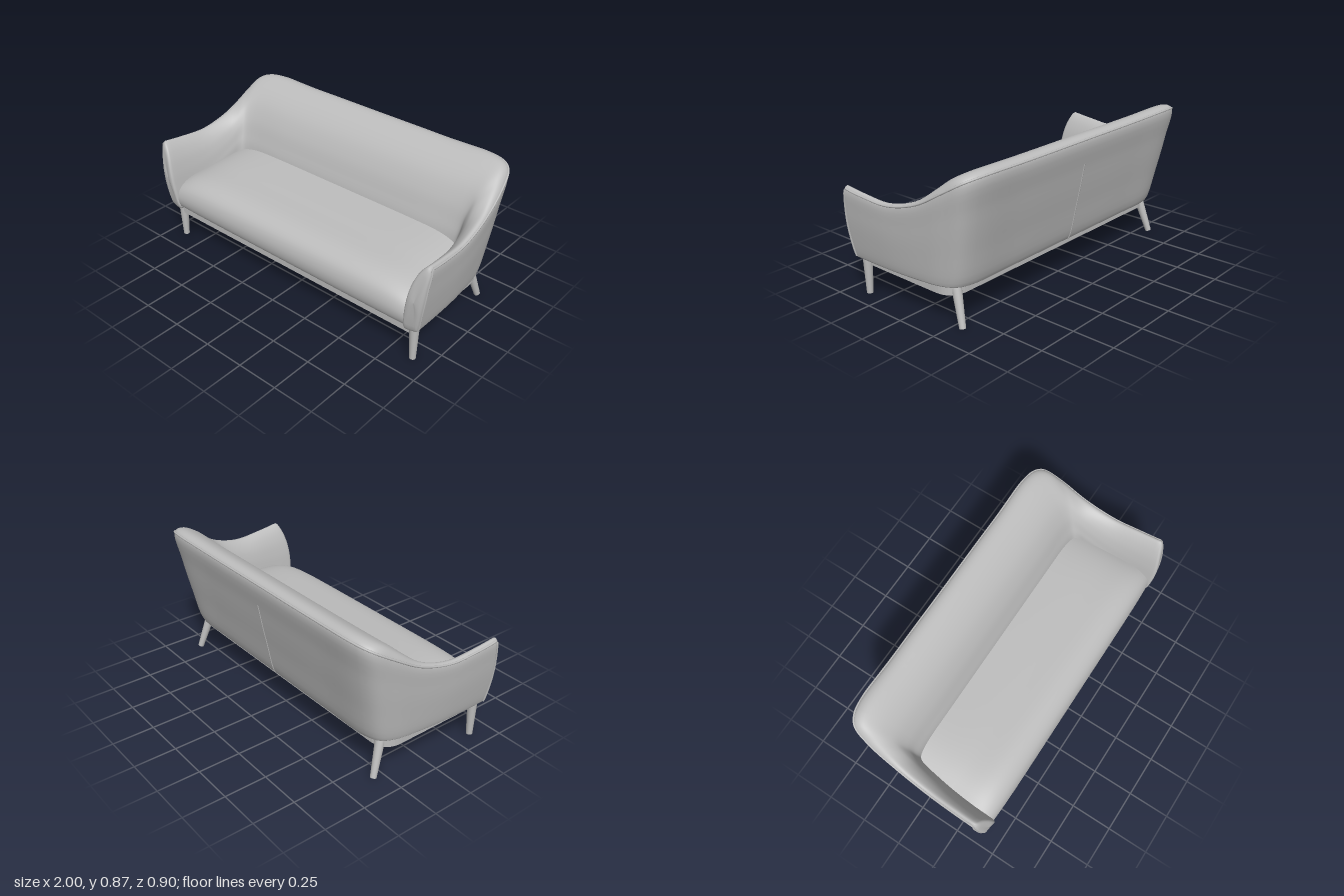
import * as THREE from 'three';

const upholstery = new THREE.MeshStandardMaterial({ color: 0xbcbcbc });
upholstery.name = 'light grey';
upholstery.side = THREE.DoubleSide;

const BASE = 0.217;
const V = (x, y, z) => new THREE.Vector3(x, y, z);

function mesh(name, geometry) {
  const m = new THREE.Mesh(geometry, upholstery);
  m.name = name;
  return m;
}

// Smooth surface through rows of points
function loft(rows) {
  const n = rows[0].length, pos = [], index = [];
  rows.forEach(r => r.forEach(p => pos.push(p.x, p.y, p.z)));
  for (let i = 0; i < rows.length - 1; i++)
    for (let j = 0; j < n - 1; j++) {
      const a = i * n + j, b = a + n;
      index.push(a, b, b + 1, a, b + 1, a + 1);
    }
  const g = new THREE.BufferGeometry();
  g.setAttribute('position', new THREE.Float32BufferAttribute(pos, 3));
  g.setIndex(index);
  g.computeVertexNormals();
  return g;
}

// Half of the shell, front of the arm to the middle of the back:
// outer bottom x z, outer top x z, top height, inner x z, inner height
const STATIONS = [
  [0.94, 0.40, 0.992, 0.39, 0.65, 0.865, 0.41, 0.30],
  [0.94, 0.25, 0.987, 0.25, 0.635, 0.86, 0.27, 0.32],
  [0.935, 0.08, 0.978, 0.08, 0.628, 0.85, 0.10, 0.38],
  [0.92, -0.08, 0.965, -0.12, 0.68, 0.84, -0.02, 0.44],
  [0.90, -0.20, 0.948, -0.29, 0.775, 0.83, -0.07, 0.46],
  [0.86, -0.28, 0.915, -0.395, 0.838, 0.815, -0.09, 0.46],
  [0.78, -0.315, 0.84, -0.436, 0.86, 0.77, -0.10, 0.46],
  [0.50, -0.32, 0.50, -0.443, 0.86, 0.50, -0.10, 0.46],
  [0, -0.32, 0, -0.443, 0.86, 0, -0.10, 0.46],
];
// Rounded crest: fraction from outer to inner, fraction of height
const CREST = [[0.13, 1.05], [0.38, 0.96], [0.64, 0.76], [0.82, 0.5], [0.92, 0.26], [1, 0]];
const SUB = 5;      // samples between control points
const TOP = 4;      // control point at the outer top edge

function section([bx, bz, tx, tz, h, ix, iz, iy], k) {
  const B = V(bx, BASE + 0.01, bz), T = V(tx, h - 0.02, tz), I = V(ix, iy, iz);
  const out = V(tx - ix, 0, tz - iz).normalize().multiplyScalar(0.01);
  const foot = B.clone().lerp(I, 0.1).setY(BASE);
  const pts = [foot, B];
  for (const f of [0.35, 0.7]) pts.push(B.clone().lerp(T, f).add(out));
  pts.push(T);
  for (const [f, d] of CREST) {
    const p = T.clone().lerp(I, f);
    p.y = iy + (T.y - iy) * d;
    pts.push(p);
  }
  pts.push(V(ix, BASE, iz), foot.clone());
  // Front edge of the arm bows forward
  if (k === 0) pts.forEach(p => { p.z += 0.02 * Math.sin(Math.PI * Math.min(1, (p.y - BASE) / (h - BASE))); });
  return pts;
}

function shellRows() {
  const half = STATIONS.map(section);
  const mirrored = half.slice(0, -1).reverse().map(s => s.map(p => V(-p.x, p.y, p.z)));
  const all = [...half, ...mirrored];
  const cols = all[0].map((_, j) =>
    new THREE.CatmullRomCurve3(all.map(s => s[j])).getPoints((all.length - 1) * 6));
  return cols[0].map((_, i) =>
    new THREE.CatmullRomCurve3(cols.map(c => c[i])).getPoints((cols.length - 1) * SUB));
}

// Domed pad closing the front of an arm
function armCap(row) {
  const c = row.reduce((s, p) => s.add(p), V(0, 0, 0)).divideScalar(row.length);
  return [[0, 0.03], [0.4, 0.029], [0.75, 0.024], [0.9, 0.017], [0.97, 0.009]].map(([s, dz]) =>
    row.map(p => c.clone().lerp(p, s).add(V(0, 0, dz))));
}

// Frame outline with rounded back corners, drawn in x and -z
function frameShape(inset) {
  const w = 0.89 - inset, f = -0.385 + inset, b = 0.275 - inset, r = 0.12;
  const s = new THREE.Shape();
  s.moveTo(-w, f);
  s.lineTo(w, f);
  s.lineTo(w, b - r);
  s.quadraticCurveTo(w, b, w - r, b);
  s.lineTo(-w + r, b);
  s.quadraticCurveTo(-w, b, -w, b - r);
  s.closePath();
  return s;
}

function slab(shape, y, depth) {
  const g = new THREE.ExtrudeGeometry(shape, { depth, bevelEnabled: false, curveSegments: 10 });
  return g.rotateX(-Math.PI / 2).translate(0, y, 0);
}

// Tapered round leg between two points
function leg(name, top, foot) {
  const d = top.clone().sub(foot);
  const m = mesh(name, new THREE.CylinderGeometry(0.028, 0.018, d.length(), 20));
  m.position.copy(top).add(foot).multiplyScalar(0.5);
  m.quaternion.setFromUnitVectors(V(0, 1, 0), d.normalize());
  return m;
}

export function createModel() {
  const sofa = new THREE.Group();
  sofa.name = 'sofa';

  // Wraparound back and arms
  const rows = shellRows();
  const first = rows[0], last = rows[rows.length - 1];
  sofa.add(mesh('backAndArms', loft([...armCap(first), ...rows, ...armCap(last).reverse()])));

  // Piping up the arm front, along the top edge and down again
  const j = TOP * SUB;
  const path = [
    ...first.slice(SUB, j), ...rows.filter((_, i) => i % 2 === 0).map(r => r[j]),
    ...last.slice(SUB, j).reverse(),
  ];
  sofa.add(mesh('piping', new THREE.TubeGeometry(new THREE.CatmullRomCurve3(path), 260, 0.006, 8)));

  // Seam up the middle of the back
  const mid = rows[(rows.length - 1) / 2];
  sofa.add(mesh('backSeam', new THREE.TubeGeometry(
    new THREE.CatmullRomCurve3(mid.slice(SUB, j - 3)), 24, 0.004, 6)));

  // Seat cushion, falling away at both ends
  const profile = new THREE.CatmullRomCurve3([
    V(0, BASE, 0.395), V(0, 0.25, 0.425), V(0, 0.32, 0.435), V(0, 0.39, 0.41),
    V(0, 0.437, 0.34), V(0, 0.462, 0.15), V(0, 0.48, -0.1), V(0, 0.485, -0.2),
  ]).getPoints(42);
  const seat = [];
  for (let i = 0; i <= 48; i++) {
    const x = -0.9 + 1.8 * i / 48, e = Math.pow(Math.abs(x) / 0.88, 8);
    seat.push(profile.map(p => V(x, BASE + (p.y - BASE) * (1 - 0.22 * e), p.z - 0.01 * e)));
  }
  sofa.add(mesh('seat', loft(seat)));

  // Base frame with a recessed underside panel
  const ring = frameShape(0);
  ring.holes.push(frameShape(0.03));
  sofa.add(mesh('baseFrame', slab(ring, 0.17, 0.05)));
  sofa.add(mesh('undersidePanel', slab(frameShape(0.01), 0.205, 0.012)));

  // Legs
  for (const s of [1, -1]) {
    const side = s > 0 ? 'Left' : 'Right';
    sofa.add(leg('front' + side + 'Leg', V(s * 0.895, 0.22, 0.367), V(s * 0.895, 0, 0.367)));
    sofa.add(leg('back' + side + 'Leg', V(s * 0.825, 0.22, -0.245), V(s * 0.856, 0.003, -0.315)));
  }
  sofa.add(leg('centreLeg', V(0, 0.21, 0.042), V(0, 0, 0.042)));
  return sofa;
}
